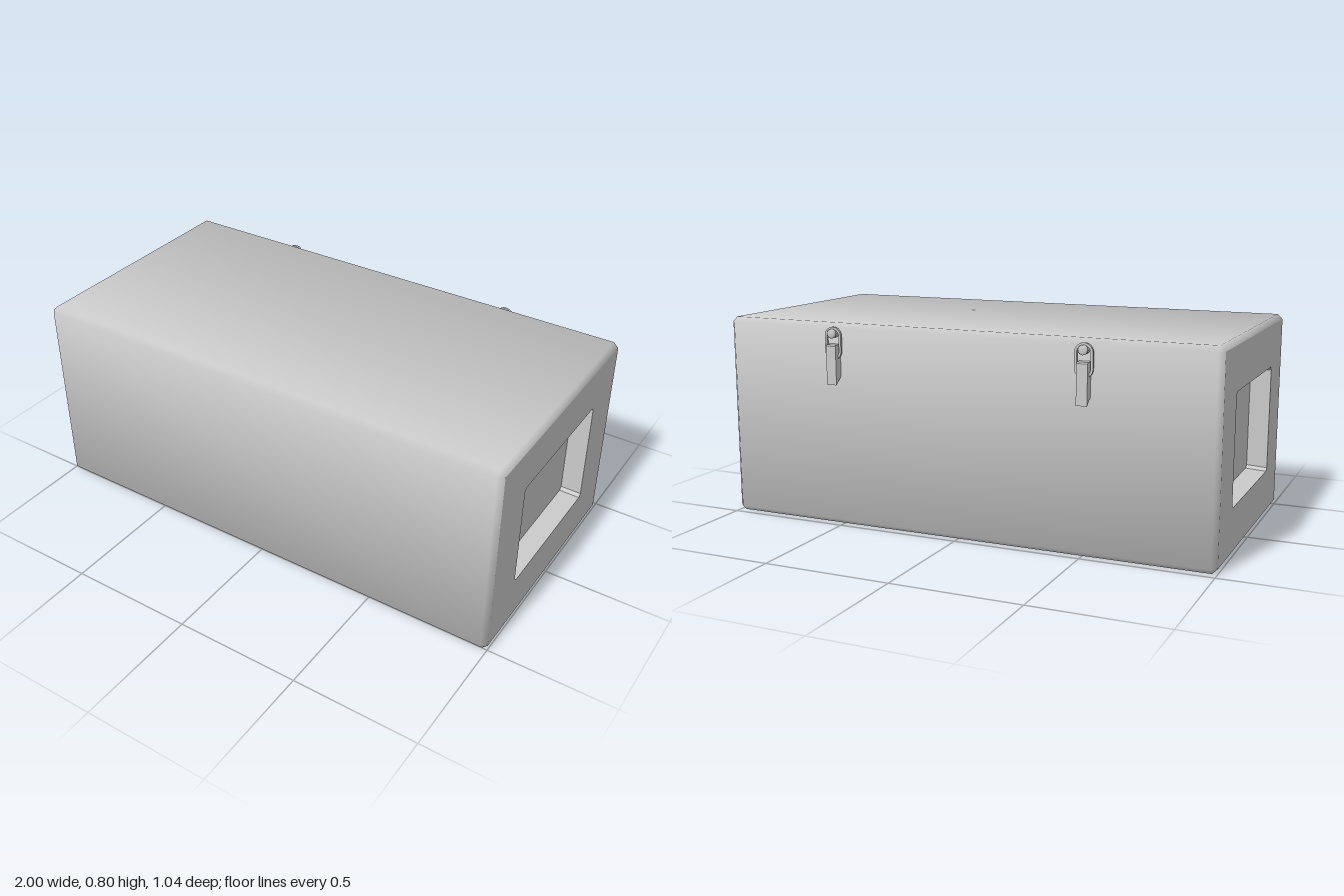
import * as THREE from 'three';

const material = new THREE.MeshStandardMaterial({ color: 0xcccccc });
const L = 1, H = 0.4, D = 0.5, B = 0.02; // half sizes and bevel of the case

function add(parent, name, geometry) {
  const mesh = new THREE.Mesh(geometry, material);
  mesh.name = name;
  parent.add(mesh);
  return mesh;
}

// Skin closed rings of points; normals are optional, one per point
function loft(rings, normals) {
  const n = rings[0].length, index = [];
  for (let i = 0; i < rings.length - 1; i++) {
    for (let j = 0; j < n; j++) {
      const a = i * n + j, b = i * n + (j + 1) % n;
      index.push(a, b, b + n, a, b + n, a + n);
    }
  }
  let g = new THREE.BufferGeometry();
  g.setAttribute('position', new THREE.Float32BufferAttribute(rings.flat(2), 3));
  g.setIndex(index);
  if (normals) {
    g.setAttribute('normal', new THREE.Float32BufferAttribute(normals.flat(2), 3));
  } else {
    g = g.toNonIndexed();
    g.computeVertexNormals();
  }
  return g;
}

// Rectangle with cut corners, counter-clockwise
function cutRect(w, h, c) {
  return [[w, -h + c], [w, h - c], [w - c, h], [-w + c, h],
    [-w, h - c], [-w, -h + c], [-w + c, -h], [w - c, -h]].map(p => new THREE.Vector2(...p));
}

// Long bevelled sides with soft normals that lean out towards the corners
function caseSides() {
  const corners = [[1, 1], [-1, 1], [-1, -1], [1, -1]];
  const rings = [], normals = [];
  for (const [x, end] of [[-L, true], [-L + B, false], [L - B, false], [L, true]]) {
    const ring = [], norm = [], sx = Math.sign(x);
    corners.forEach(([sy, sz], k) => {
      for (const onY of k % 2 ? [false, true] : [true, false]) {
        ring.push([x, sy * (end || !onY ? H - B : H), sz * (end || onY ? D - B : D)]);
        norm.push(end ? [0.92 * sx, 0.39 * sy, 0.39 * sz]
          : onY ? [0.39 * sx, 0.92 * sy, 0.39 * sz] : [0.39 * sx, 0.39 * sy, 0.92 * sz]);
      }
    });
    rings.push(ring);
    normals.push(norm);
  }
  return loft(rings, normals);
}

// End panel with a recessed hand hold, facing +z before it is turned
function createEnd() {
  const end = new THREE.Group();
  const opening = cutRect(0.296, 0.212, 0.012), inner = cutRect(0.289, 0.205, 0.012);
  const depth = 0.08;
  const panel = new THREE.Shape(cutRect(D - B, H - B, 0.001));
  panel.holes.push(new THREE.Path(opening));
  add(end, 'endPanel', new THREE.ShapeGeometry(panel)).position.z = L;
  add(end, 'recessWalls', loft([
    opening.map(p => [p.x, p.y, L]),
    inner.map(p => [p.x, p.y, L - depth]),
  ]));
  add(end, 'recessFloor', new THREE.ShapeGeometry(new THREE.Shape(inner))).position.z = L - depth;
  return end;
}

// Upright slot outline with round ends
function slot(PathType, r, y0, y1) {
  const p = new PathType();
  p.absarc(0, y1 - r, r, 0, Math.PI, false);
  p.absarc(0, y0 + r, r, Math.PI, Math.PI * 2, false);
  p.closePath();
  return p;
}

// Toggle latch; z = 0 is the wall and +z points away from it
function createLatch() {
  const latch = new THREE.Group();
  latch.name = 'latch';

  const profile = new THREE.Shape([[0, 0.595], [0.035, 0.565], [0.035, 0.715], [0.03, 0.72], [0, 0.72]]
    .map(p => new THREE.Vector2(...p)));
  const lever = new THREE.ExtrudeGeometry(profile, { depth: 0.042, bevelEnabled: false });
  lever.translate(0, 0, -0.021).rotateY(-Math.PI / 2);
  add(latch, 'lever', lever);

  const outline = slot(THREE.Shape, 0.035, 0.66, 0.787);
  outline.holes.push(slot(THREE.Path, 0.026, 0.669, 0.778));
  const loop = new THREE.ExtrudeGeometry(outline, { depth: 0.009, bevelEnabled: false, curveSegments: 12 });
  add(latch, 'loop', loop).position.z = 0.01;

  // Catch stud with a waist where the loop sits
  const stud = new THREE.LatheGeometry([[0.017, 0], [0.017, 0.009], [0.013, 0.01], [0.013, 0.02],
    [0.018, 0.021], [0.018, 0.03], [0.014, 0.035], [0, 0.035]].map(p => new THREE.Vector2(...p)), 16);
  stud.rotateX(Math.PI / 2);
  add(latch, 'catchStud', stud).position.y = 0.762;
  return latch;
}

export function createModel() {
  const model = new THREE.Group();
  model.name = 'storageCase';

  const body = new THREE.Group();
  body.name = 'caseBody';
  body.position.set(0, H, 0.017);
  add(body, 'caseSides', caseSides());
  for (const side of [1, -1]) {
    const end = createEnd();
    end.name = side > 0 ? 'leftEnd' : 'rightEnd';
    end.rotation.y = side * Math.PI / 2;
    body.add(end);
  }
  model.add(body);

  // Pair of latches on the back wall
  for (const side of [1, -1]) {
    const latch = createLatch();
    latch.position.set(side * 0.51, 0, 0.017 - D);
    latch.rotation.y = Math.PI;
    model.add(latch);
  }
  return model;
}
